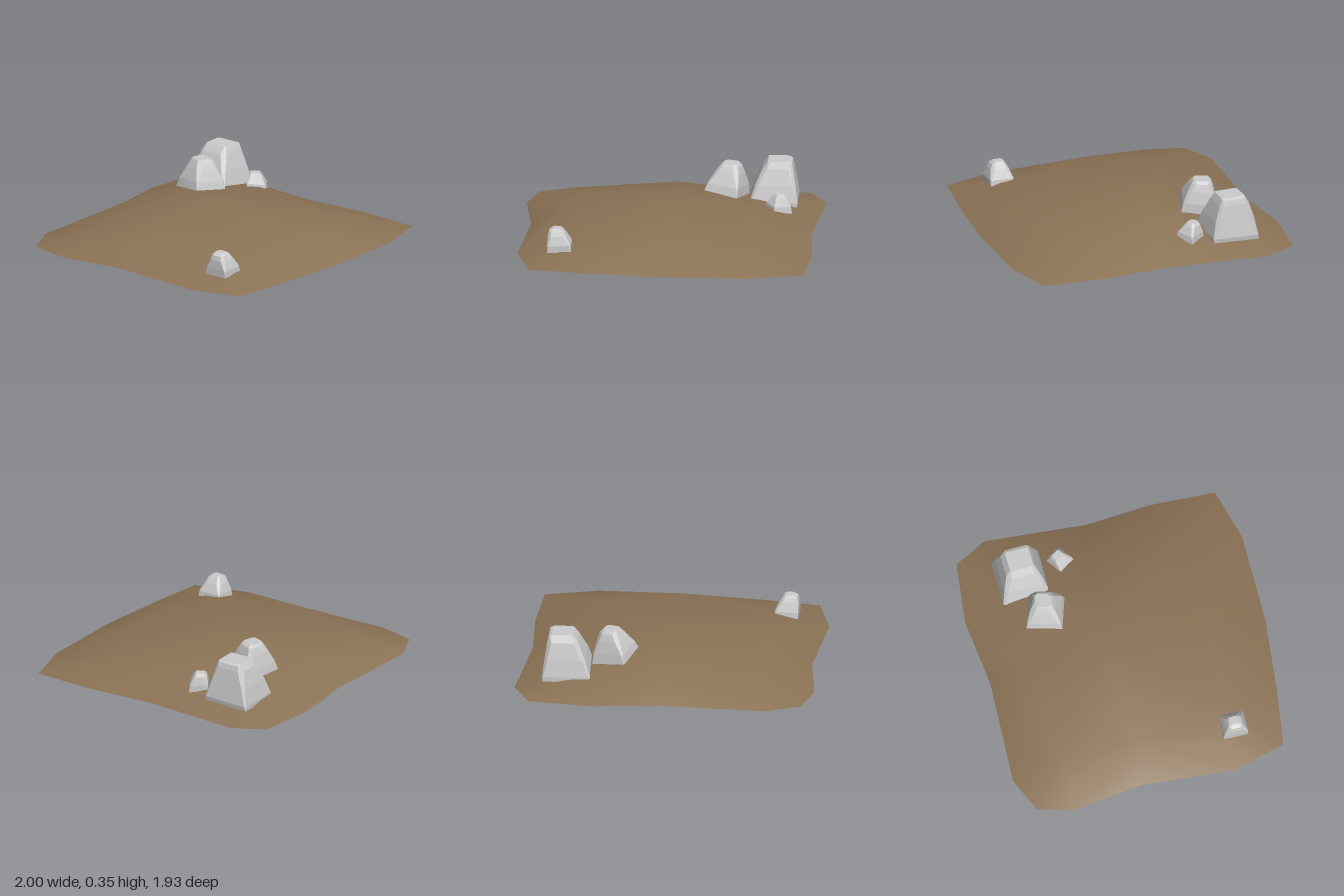
import * as THREE from 'three';
import { ConvexGeometry } from 'three/addons/geometries/ConvexGeometry.js';

// Rim of the mound, clockwise from the back-right corner as seen from above: [x, z]
const RIM = [
  [-0.915, -0.865], [-0.68, -0.965], [0.02, -0.925], [0.48, -0.97], [0.89, -0.915],
  [1, -0.695], [0.93, -0.015], [0.95, 0.435], [0.92, 0.87],
  [0.57, 0.96], [-0.04, 0.95], [-0.535, 0.89], [-0.91, 0.83],
  [-1, 0.475], [-0.935, -0.16], [-0.985, -0.615],
];
// Raised inner 3 x 3 points, row by row from the back: [x, y, z]
const INNER = [
  [-0.61, 0.09, -0.62], [0.01, 0.14, -0.69], [0.56, 0.09, -0.64],
  [-0.68, 0.155, -0.11], [0.02, 0.22, -0.15], [0.56, 0.155, -0.07],
  [-0.61, 0.09, 0.53], [0, 0.155, 0.6], [0.6, 0.1, 0.53],
];

// Smooth hill surface: 5 x 5 grid whose border lies on the ground
function hillGeometry() {
  const points = [];
  const index = [];
  for (let r = 0; r < 5; r++) {
    for (let c = 0; c < 5; c++) {
      if (r > 0 && r < 4 && c > 0 && c < 4) {
        points.push(...INNER[(r - 1) * 3 + c - 1]);
        continue;
      }
      const k = r === 0 ? c : c === 4 ? 4 + r : r === 4 ? 12 - c : 16 - r;
      points.push(RIM[k][0], 0, RIM[k][1]);
    }
  }
  for (let r = 0; r < 4; r++) {
    for (let c = 0; c < 4; c++) {
      const a = r * 5 + c, b = a + 1, d = a + 5, e = a + 6;
      // Diagonals run from the centre outward
      if ((r < 2) === (c < 2)) index.push(a, d, e, a, e, b);
      else index.push(a, d, b, b, d, e);
    }
  }
  const g = new THREE.BufferGeometry();
  g.setAttribute('position', new THREE.Float32BufferAttribute(points, 3));
  g.setIndex(index);
  g.computeVertexNormals();
  return g;
}

// Faceted boulder from stacked chamfered rectangles.
// levels: [y, x0, x1, z0, z1, chamfer]; tilt slopes the base and fades to the top
function rock(name, x, z, turn, levels, tilt = [0, 0]) {
  const points = [];
  levels.forEach(([y, x0, x1, z0, z1, cut], i) => {
    const fade = 1 - i / (levels.length - 1);
    for (const [px, sx] of [[x0, 1], [x1, -1]]) {
      for (const [pz, sz] of [[z0, 1], [z1, -1]]) {
        const h = y + fade * (px * tilt[0] + pz * tilt[1]);
        points.push(new THREE.Vector3(px + sx * cut, h, pz));
        if (cut) points.push(new THREE.Vector3(px, h, pz + sz * cut));
      }
    }
  });
  const mesh = new THREE.Mesh(
    new ConvexGeometry(points),
    new THREE.MeshStandardMaterial({ color: 0xcccccc, flatShading: true }),
  );
  mesh.name = name;
  mesh.position.set(x, 0, z);
  mesh.rotation.y = turn;
  return mesh;
}

export function createModel() {
  const group = new THREE.Group();
  group.name = 'rockyMound';
  const earth = new THREE.MeshStandardMaterial({ color: 0x8b7355 });

  const hill = new THREE.Mesh(hillGeometry(), earth);
  hill.name = 'hill';
  group.add(hill);

  // Flat underside
  const outline = new THREE.Shape(RIM.map(([x, z]) => new THREE.Vector2(x, z)));
  const base = new THREE.Mesh(new THREE.ShapeGeometry(outline).rotateX(Math.PI / 2), earth);
  base.name = 'underside';
  group.add(base);

  group.add(
    rock('largeRock', 0.66, -0.54, 0, [
      [0.06, -0.16, 0.155, -0.16, 0.16, 0],
      [0.09, -0.16, 0.16, -0.16, 0.16, 0.01],
      [0.2, -0.125, 0.145, -0.14, 0.135, 0.02],
      [0.31, -0.075, 0.13, -0.11, 0.1, 0.03],
      [0.345, -0.045, 0.12, -0.085, 0.085, 0.01],
      [0.355, -0.04, 0.1, -0.08, 0.08, 0.01],
    ], [0, 0.05]),
    rock('mediumRock', 0.35, -0.455, -0.33, [
      [0.15, -0.115, 0.115, -0.12, 0.12, 0],
      [0.21, -0.1, 0.115, -0.115, 0.105, 0.01],
      [0.29, -0.065, 0.1, -0.1, 0.07, 0.025],
      [0.335, -0.04, 0.085, -0.085, 0.045, 0.025],
      [0.35, -0.03, 0.065, -0.07, 0.03, 0.015],
    ], [-0.14, 0.14]),
    rock('smallRock', 0.7, -0.255, 0.55, [
      [0.09, -0.066, 0.066, -0.065, 0.065, 0],
      [0.13, -0.06, 0.066, -0.063, 0.06, 0.008],
      [0.18, -0.03, 0.055, -0.055, 0.035, 0.015],
      [0.2, -0.015, 0.04, -0.045, 0.02, 0.01],
    ], [-0.15, -0.1]),
    rock('cornerRock', -0.715, 0.54, -0.03, [
      [0.055, -0.078, 0.08, -0.083, 0.083, 0],
      [0.1, -0.08, 0.075, -0.08, 0.083, 0.008],
      [0.16, -0.078, 0.045, -0.06, 0.065, 0.02],
      [0.19, -0.07, 0.025, -0.045, 0.05, 0.015],
      [0.205, -0.045, 0.01, -0.035, 0.03, 0.01],
    ], [0.05, 0]),
  );
  return group;
}
